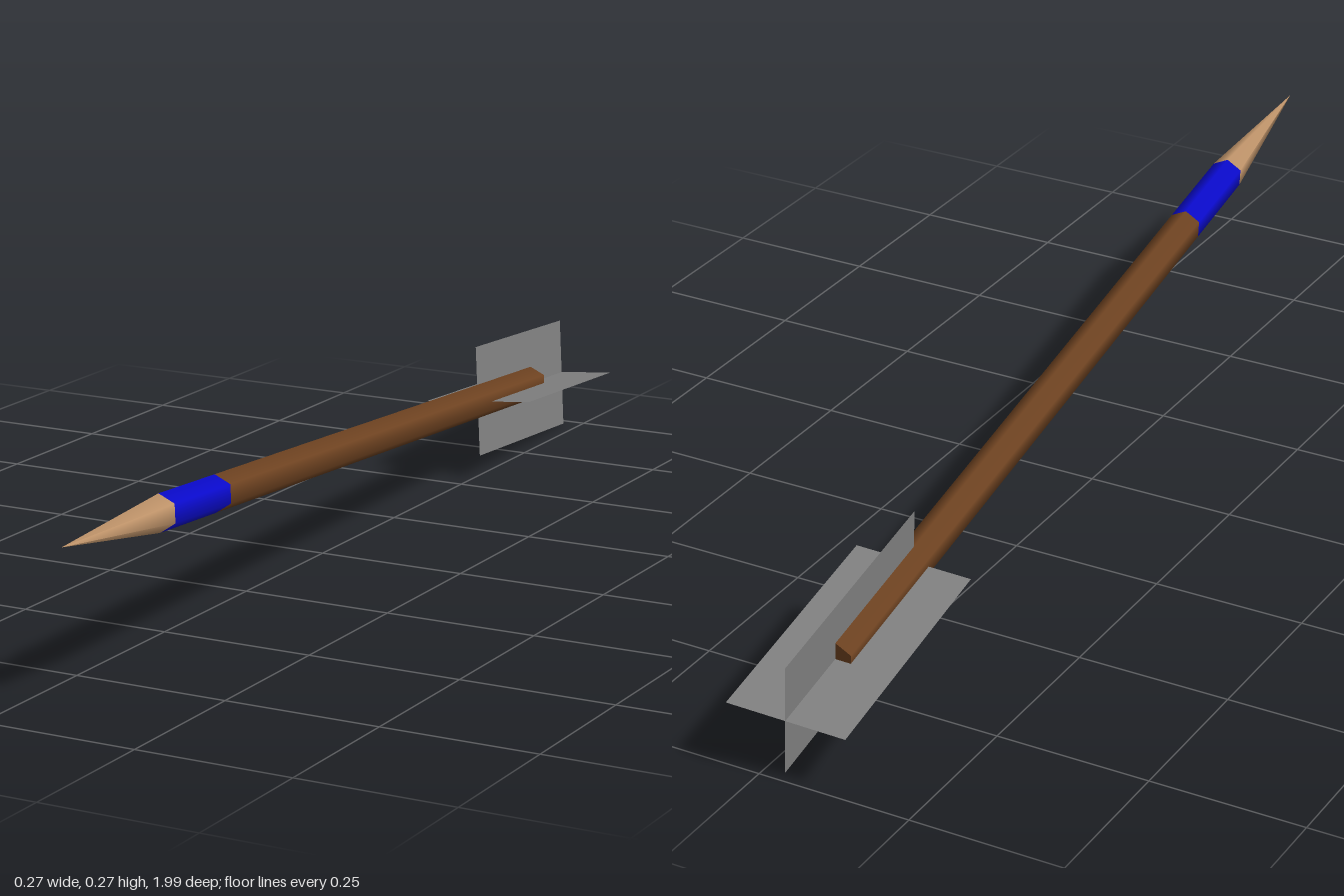
import * as THREE from 'three';

export function createModel() {
  const mat = (name, color, side = THREE.FrontSide) => {
    const m = new THREE.MeshStandardMaterial({ color, side });
    m.name = name;
    return m;
  };
  const wood = mat('brown wood', 0x6f4321);
  const blue = mat('blue paint', 0x0a0acd);
  const tan = mat('tan point', 0xc0946a);
  const grey = mat('grey fletching', 0x808080, THREE.DoubleSide);

  const arrow = new THREE.Group();
  arrow.name = 'arrow';
  const R = 0.029;

  // Six-sided section along the arrow's own z axis
  const section = (name, material, z0, z1, r0, r1, open) => {
    const g = new THREE.CylinderGeometry(r1, r0, z1 - z0, 6, 1, open);
    g.rotateX(Math.PI / 2).translate(0, 0, (z0 + z1) / 2);
    const mesh = new THREE.Mesh(g, material);
    mesh.name = name;
    arrow.add(mesh);
  };
  section('shaft', wood, -0.052, 1.288, R, R, false);
  section('band', blue, 1.288, 1.48, R, R, false);
  section('tip', tan, 1.48, 1.79, R, 0, false);

  // Two crossed vanes at the tail
  const vane = (name, turn) => {
    const g = new THREE.PlaneGeometry(0.19, 0.423);
    g.rotateX(Math.PI / 2).rotateZ(turn);
    const mesh = new THREE.Mesh(g, grey);
    mesh.name = name;
    arrow.add(mesh);
  };
  vane('horizontalVane', 0);
  vane('verticalVane', Math.PI / 2);

  // Aim the arrow slightly up and towards its left, with a small roll
  const forward = new THREE.Vector3(0.0877, 0.0895, 0.992).normalize();
  const side = new THREE.Vector3(-0.093, 0.993, -0.08).cross(forward).normalize();
  const up = new THREE.Vector3().crossVectors(forward, side);
  arrow.quaternion.setFromRotationMatrix(new THREE.Matrix4().makeBasis(side, up, forward));
  arrow.position.set(-0.022, 0.116, -0.778);

  const model = new THREE.Group();
  model.add(arrow);
  return model;
}
